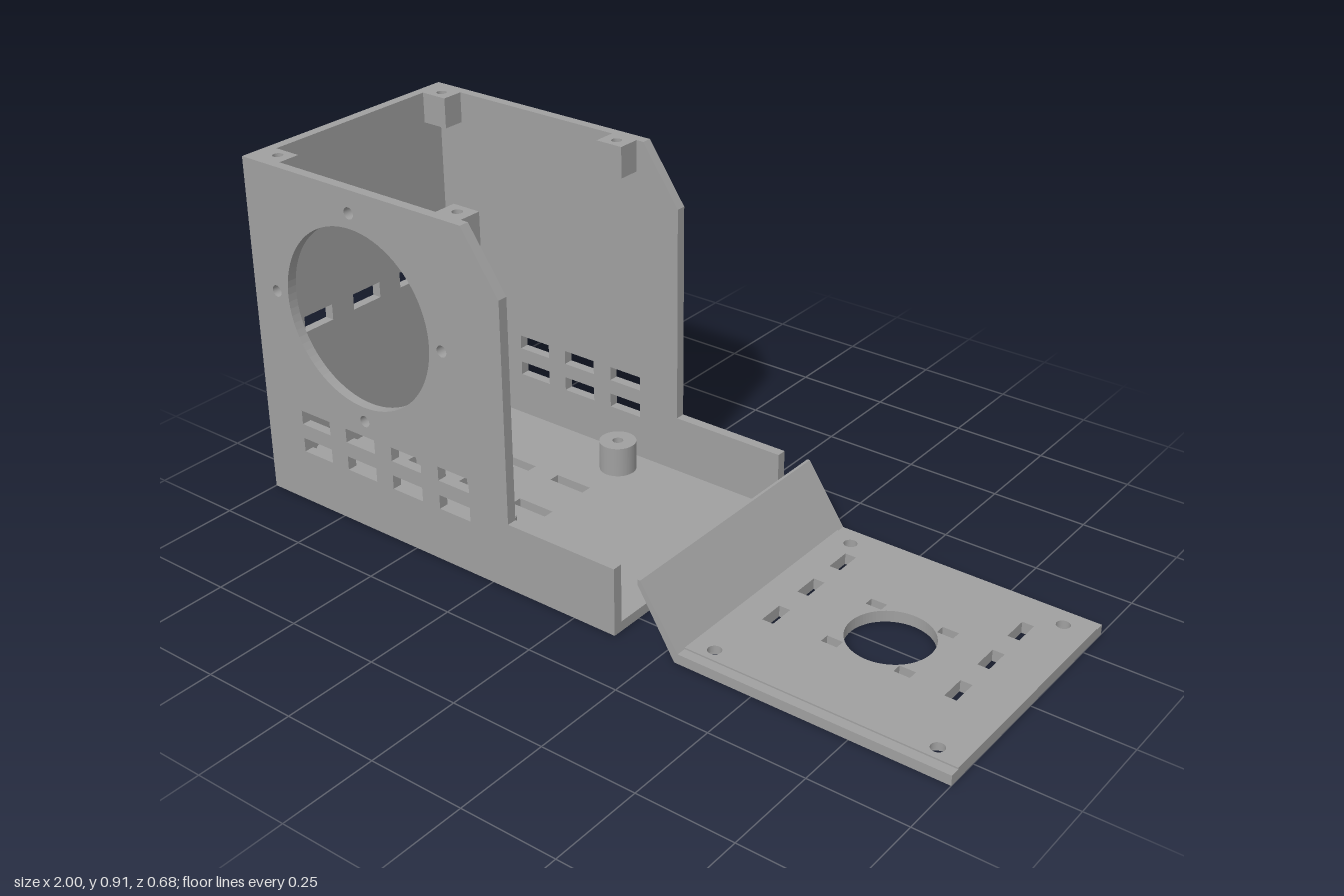
import * as THREE from 'three';

const W = 0.34, T = 0.026, IN = W - T;

const rect = (x, y, w, h) => [[x - w / 2, y - h / 2], [x + w / 2, y - h / 2], [x + w / 2, y + h / 2], [x - w / 2, y + h / 2]]
  .map(([a, b]) => new THREE.Vector2(a, b));
const poly = (pts) => pts.map(([a, b]) => new THREE.Vector2(a, b));
const box = (x0, x1, y0, y1) => rect((x0 + x1) / 2, (y0 + y1) / 2, x1 - x0, y1 - y0);
const circle = (x, y, r) => new THREE.Path().absarc(x, y, r, 0, Math.PI * 2, true);
const slot = (x, y, w, h) => new THREE.Path(rect(x, y, w, h).reverse());

// Plate with cut-outs, extruded along +z
function plate(outline, holes, depth) {
  const shape = outline instanceof THREE.Shape ? outline : new THREE.Shape(outline);
  shape.holes = holes;
  return new THREE.ExtrudeGeometry(shape, { depth, bevelEnabled: false, curveSegments: 40 });
}
// Horizontal plate: shape y runs along -z, thickness along +y
const flat = (outline, holes, depth, y) => plate(outline, holes, depth).rotateX(-Math.PI / 2).translate(0, y, 0);

export function createModel() {
  const model = new THREE.Group();
  model.name = 'enclosure';
  const grey = new THREE.MeshStandardMaterial({ color: 0xa0a0a0 });
  grey.name = 'grey plastic';
  const body = new THREE.Group(), lid = new THREE.Group();
  body.name = 'body';
  lid.name = 'lid';
  model.add(body, lid);
  const add = (group, name, geometry) => {
    const mesh = new THREE.Mesh(geometry, grey);
    mesh.name = name;
    group.add(mesh);
  };

  // Side walls with two rows of vents; only the front one has the fan opening
  const side = poly([[-1, 0], [0.12, 0], [0.12, 0.18], [-0.195, 0.18], [-0.195, 0.755], [-0.3, 0.906], [-1, 0.906]]);
  const vents = () => [0.163, 0.241].flatMap((y) => [0, 1, 2, 3].map((i) => slot(-0.826 + i * 0.154, y, 0.098, 0.038)));
  const fan = [circle(-0.65, 0.575, 0.233)];
  for (const [dx, dy] of [[1, 0], [-1, 0], [0, 1], [0, -1]]) fan.push(circle(-0.65 + dx * 0.272, 0.575 + dy * 0.272, 0.015));
  add(body, 'frontWall', plate(side, [...vents(), ...fan], T).translate(0, 0, IN));
  add(body, 'backWall', plate(side, vents(), T).translate(0, 0, -W));

  // End wall with three vents
  const endVents = [-0.168, 0.003, 0.174].map((u) => slot(u, 0.421, 0.096, 0.043));
  add(body, 'endWall', plate(box(-IN, IN, 0, 0.906), endVents, T).rotateY(Math.PI / 2).translate(-1, 0, 0));

  // Floor in two layers so the screw holes are counterbored from below
  const posts = [-0.88, -0.327].flatMap((x) => [-0.235, 0.235].map((z) => [x, z]));
  const floorVents = () => [0.093, -0.055].flatMap((y) => [-0.735, -0.554, -0.372].map((x) => slot(x, y, 0.107, 0.03)));
  for (const [name, y, r] of [['floorBottom', 0, 0.028], ['floorTop', T / 2, 0.014]]) {
    const holes = [...floorVents(), ...posts.map(([x, z]) => circle(x, -z, r))];
    add(body, name, flat(box(-1 + T, 0.12, -IN, IN), holes, T / 2, y));
  }

  // Standoff posts on the floor
  for (const [x, z] of posts) {
    const disc = new THREE.Shape().absarc(x, -z, 0.048, 0, Math.PI * 2, false);
    add(body, 'standoff', flat(disc, [circle(x, -z, 0.014)], 0.08, T));
  }

  // Screw blocks under the top rim
  for (const x of [-0.937, -0.359]) {
    for (const s of [-1, 1]) {
      const z = s * (IN - 0.03);
      add(body, 'screwBlock', flat(rect(x, z, 0.076, 0.06), [circle(x, z, 0.013)], 0.081, 0.825));
    }
  }

  // Lid plate: counterbored lower layer, upper layer and a slightly raised inner pad
  const lidHoles = (r) => {
    const holes = [circle(0.645, 0, 0.106)];
    for (const x of [0.359, 0.932]) for (const y of [-0.281, 0.281]) holes.push(circle(x, y, r));
    for (const x of [0.389, 0.867]) for (const y of [0.2, 0.062, -0.082]) holes.push(slot(x, y, 0.03, 0.07));
    for (const x of [0.549, 0.739]) for (const y of [-0.094, 0.094]) holes.push(slot(x, y, 0.042, 0.026));
    return holes;
  };
  add(lid, 'lidBottom', flat(box(0.3, 1, -W, W), lidHoles(0.028), 0.013, 0));
  add(lid, 'lidTop', flat(box(0.3, 1, -W, W), lidHoles(0.017), 0.013, 0.013));
  add(lid, 'lidPad', flat(box(0.3, 1, -IN, IN), lidHoles(0.017), 0.004, T));

  // Sloping flange of the lid
  const flange = poly([[0.188, 0.18], [0.188, 0.165], [0.29, 0], [0.3, 0], [0.3, T], [0.195, 0.18]]);
  add(lid, 'lidFlange', plate(flange, [], 2 * W).translate(0, 0, -W));

  return model;
}
